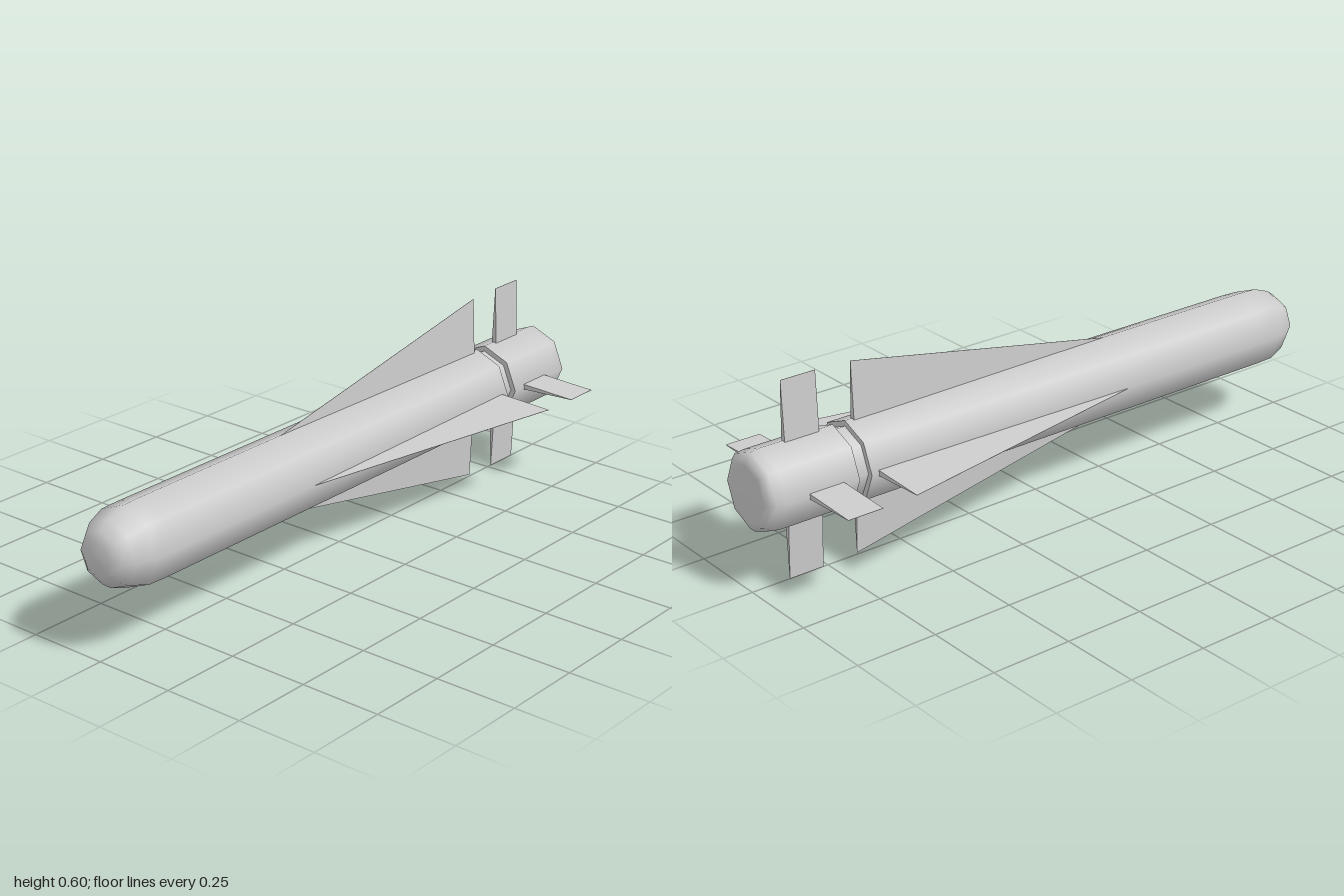
import * as THREE from 'three';

const CENTER_Y = 0.3;
const R = 0.123;

export function createModel() {
  const model = new THREE.Group();
  const material = new THREE.MeshStandardMaterial({ color: 0xcccccc });

  // Eight-sided turned part lying along x; each profile is [x, radius]
  function turned(name, ...profiles) {
    const part = new THREE.Group();
    part.name = name;
    for (const profile of profiles) {
      const geo = new THREE.LatheGeometry(profile.map(([x, r]) => new THREE.Vector2(r, x)), 8);
      geo.rotateZ(-Math.PI / 2);
      part.add(new THREE.Mesh(geo, material));
    }
    part.position.y = CENTER_Y;
    model.add(part);
  }

  // Four tapered blades around the body; outline is [x, radius]
  function blades(name, outline, thickness) {
    const shape = new THREE.Shape(outline.map(([x, r]) => new THREE.Vector2(x, r)));
    const geo = new THREE.ExtrudeGeometry(shape, { depth: 1, bevelEnabled: false });
    const p = geo.attributes.position;
    for (let i = 0; i < p.count; i++) {
      p.setZ(i, (p.getZ(i) - 0.5) * thickness(p.getX(i), p.getY(i)));
    }
    geo.computeVertexNormals();
    for (let i = 0; i < 4; i++) {
      const blade = new THREE.Mesh(geo, material);
      blade.name = name + (i + 1);
      blade.position.y = CENTER_Y;
      blade.rotation.x = i * Math.PI / 2;
      model.add(blade);
    }
  }

  // Main body with rounded nose and a flat rear face
  turned('body',
    [[-1, 0], [-0.997, 0.05], [-0.98, 0.077], [-0.95, 0.1], [-0.89, 0.121], [-0.83, R], [0.675, R]],
    [[0.675, R], [0.675, 0.09]]);

  // Recessed joint between body and tail
  turned('neck', [[0.66, 0.106], [0.73, 0.106]]);

  // Tail section with softened rear edge
  turned('tail',
    [[0.715, 0.09], [0.715, R]],
    [[0.715, R], [0.95, R], [0.98, 0.119], [0.995, 0.105], [1, 0.085], [1, 0]]);

  // Long delta wings, thickest at the rear root
  const leadingEdge = (x) => 0.295 + (x - 0.65) * 0.189;
  blades('wing', [[-0.38, 0.1], [0.65, 0.1], [0.65, 0.295]],
    (x, r) => 0.001 + 0.018 * Math.max(0, leadingEdge(x) - r) / 0.195);

  // Short rectangular control fins, thinning to the tip
  blades('tailFin', [[0.765, 0.1], [0.877, 0.1], [0.877, 0.3], [0.765, 0.3]],
    (x, r) => 0.001 + 0.017 * (0.3 - r) / 0.2);

  return model;
}
